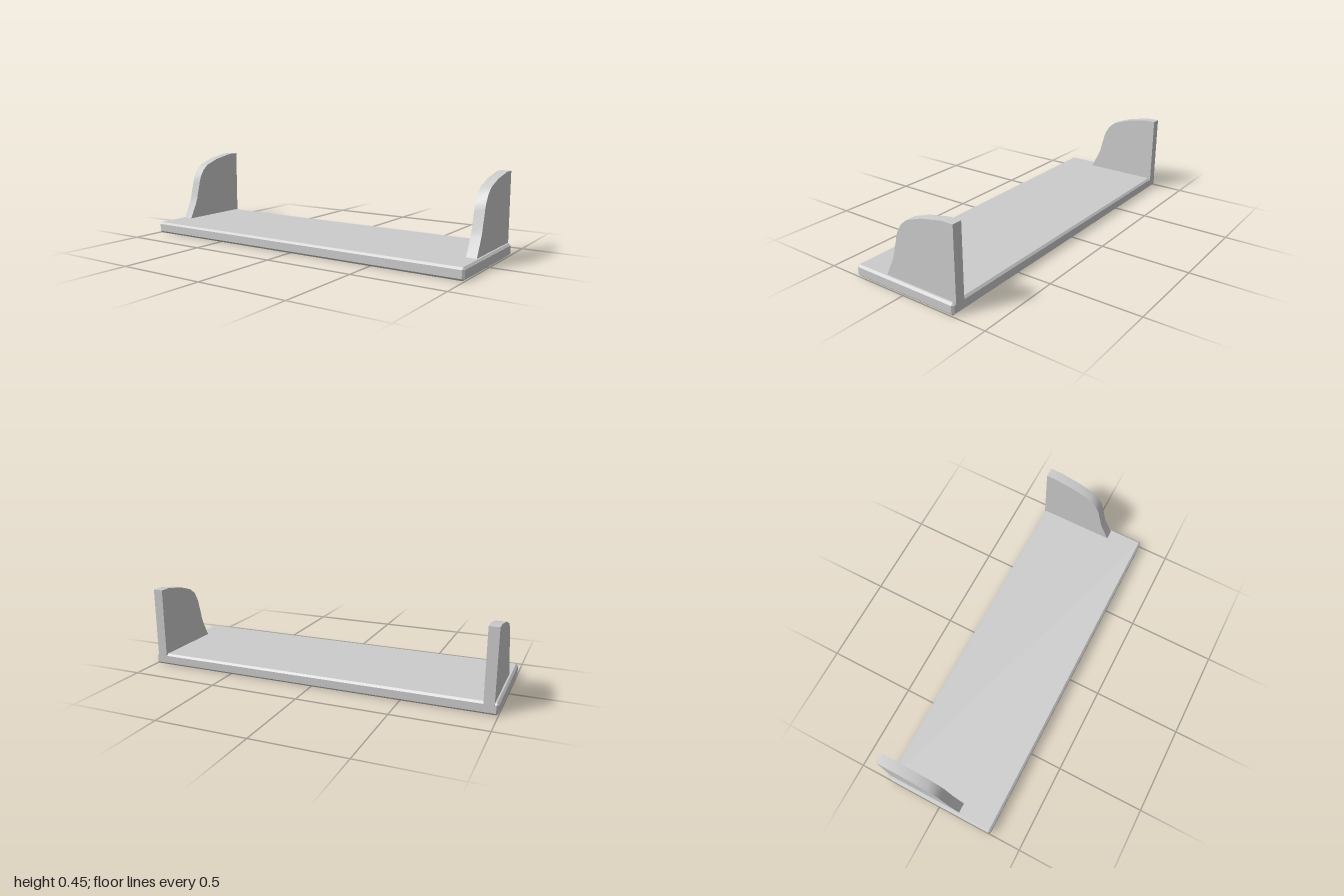
import * as THREE from 'three';
import { ConvexGeometry } from 'three/addons/geometries/ConvexGeometry.js';
import { toCreasedNormals } from 'three/addons/utils/BufferGeometryUtils.js';

const material = new THREE.MeshStandardMaterial({ color: 0xcccccc });

// Box with every edge chamfered: three corner points per corner, one on each face
function chamferedBox(w, h, d, c) {
  const points = [];
  for (const x of [-1, 1]) for (const y of [-1, 1]) for (const z of [-1, 1]) {
    for (let axis = 0; axis < 3; axis++) {
      const inset = [c, c, c];
      inset[axis] = 0;
      points.push(new THREE.Vector3(
        x * (w / 2 - inset[0]), y * (h / 2 - inset[1]), z * (d / 2 - inset[2])));
    }
  }
  return new ConvexGeometry(points);
}

// Curved side panel, profile given as [z, y]
function sidePanelGeometry(thickness) {
  const profile = [
    [-0.32, 0.053], [0.12, 0.053], [0.12, 0.065], [0.075, 0.155], [0.063, 0.185],
    [0.052, 0.23], [0.041, 0.267], [0.036, 0.29], [0.025, 0.322], [0, 0.362],
    [-0.038, 0.394], [-0.13, 0.426], [-0.255, 0.449], [-0.32, 0.449],
  ];
  const shape = new THREE.Shape(profile.map(([z, y]) => new THREE.Vector2(-z, y)));
  const geometry = new THREE.ExtrudeGeometry(shape, { depth: thickness, bevelEnabled: false });
  geometry.rotateY(Math.PI / 2).translate(-thickness / 2, 0, 0);
  return toCreasedNormals(geometry, 0.45);
}

export function createModel() {
  const model = new THREE.Group();
  model.name = 'shelf';

  // Shelf board
  const board = new THREE.Mesh(chamferedBox(2, 0.065, 0.637, 0.011), material);
  board.name = 'board';
  board.position.set(0, 0.0325, 0.0015);
  model.add(board);

  // Side panels at both ends
  const panel = sidePanelGeometry(0.055);
  for (const [name, side] of [['leftPanel', 1], ['rightPanel', -1]]) {
    const mesh = new THREE.Mesh(panel, material);
    mesh.name = name;
    mesh.position.x = side * 0.953;
    model.add(mesh);
  }
  return model;
}
